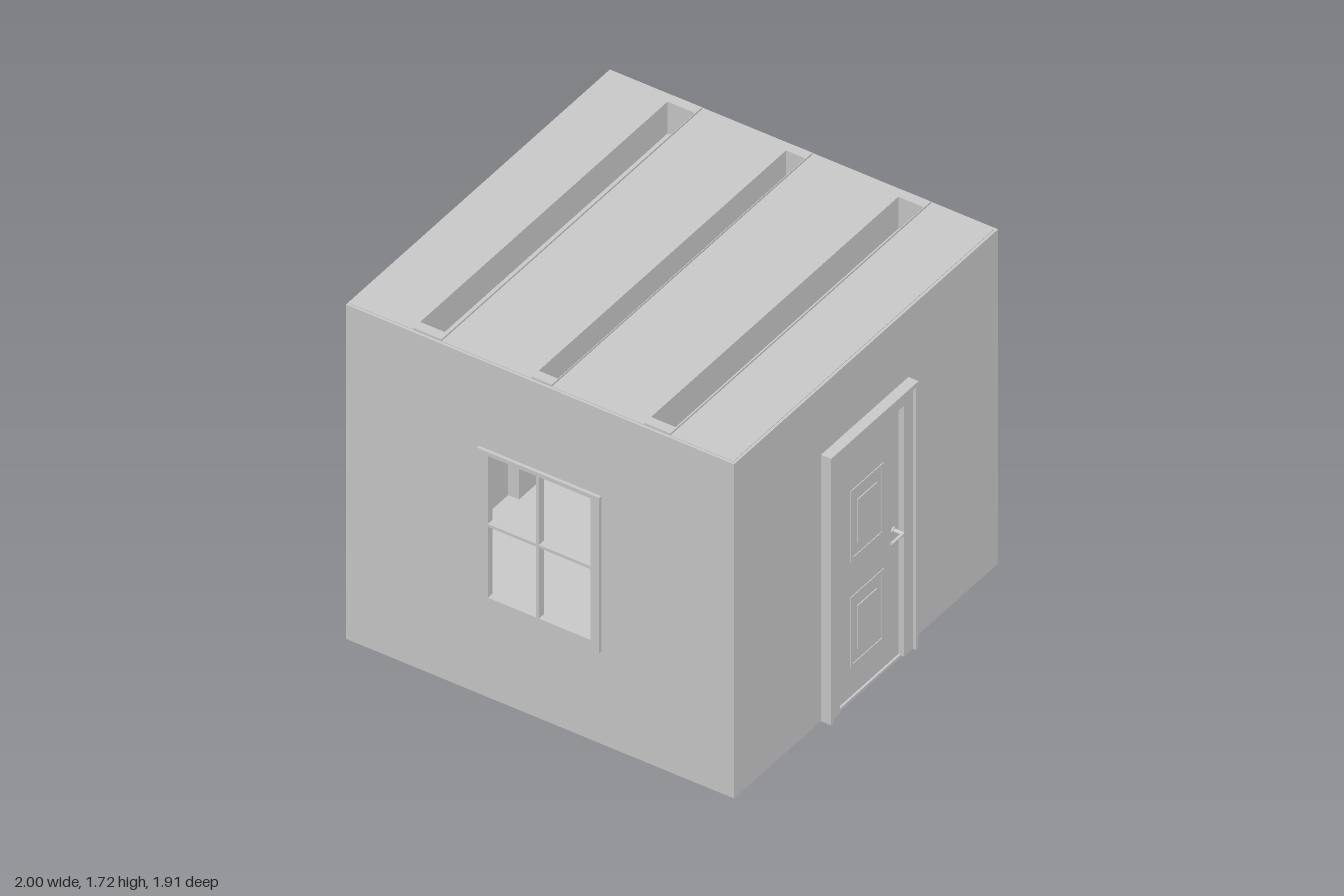
import * as THREE from 'three';

const grey = new THREE.MeshStandardMaterial({ color: 0xcccccc, flatShading: true });
const smooth = new THREE.MeshStandardMaterial({ color: 0xcccccc, side: THREE.DoubleSide });

// Box given by its two extreme corners
function box(parent, name, x0, x1, y0, y1, z0, z1) {
  const m = new THREE.Mesh(new THREE.BoxGeometry(x1 - x0, y1 - y0, z1 - z0), grey);
  m.position.set((x0 + x1) / 2, (y0 + y1) / 2, (z0 + z1) / 2);
  m.name = name;
  parent.add(m);
  return m;
}

function round(parent, name, geometry, x, y, z) {
  const m = new THREE.Mesh(geometry, smooth);
  m.position.set(x, y, z);
  m.name = name;
  parent.add(m);
  return m;
}

function rectPath(path, x0, x1, y0, y1) {
  path.moveTo(x0, y0);
  path.lineTo(x1, y0);
  path.lineTo(x1, y1);
  path.lineTo(x0, y1);
  path.closePath();
  return path;
}

// Upright slab with optional rectangular openings, extruded along z
function slab(parent, name, rect, holes, depth) {
  const shape = rectPath(new THREE.Shape(), ...rect);
  holes.forEach(h => shape.holes.push(rectPath(new THREE.Path(), ...h)));
  const m = new THREE.Mesh(new THREE.ExtrudeGeometry(shape, { depth, bevelEnabled: false }), grey);
  m.name = name;
  parent.add(m);
  return m;
}

// Door facing +z, wall surface at z = 0
function makeDoor(name, w, h, out, inset) {
  const g = new THREE.Group();
  g.name = name;
  const leafW = w - 0.17, leafH = h - 0.08, hw = w / 2, lw = leafW / 2;
  // Casing built from an outer lip and a deeper inner moulding
  for (const s of [-1, 1]) {
    const a = s * hw, b = s * (hw - 0.02), c = s * lw;
    box(g, 'outerCasing', Math.min(a, b), Math.max(a, b), 0.01, h, -0.012, out);
    box(g, 'innerCasing', Math.min(b, c), Math.max(b, c), 0.01, h - 0.02, -inset - 0.02, out - 0.015);
  }
  box(g, 'outerCasingTop', -hw + 0.02, hw - 0.02, h - 0.02, h, -0.012, out);
  box(g, 'innerCasingTop', -lw, lw, leafH, h - 0.02, -inset - 0.02, out - 0.015);
  box(g, 'threshold', -lw, lw, 0, 0.015, -inset - 0.02, out - 0.03);
  const face = -inset + 0.01;
  box(g, 'doorLeaf', -lw, lw, 0.015, leafH, face - 0.03, face);
  // Two moulded panels on both faces of the leaf
  for (const y of [0.16, 0.7]) {
    for (const z of [face, face - 0.03]) {
      const rim = slab(g, 'panelMoulding', [-0.12, 0.12, y, y + 0.36],
        [[-0.105, 0.105, y + 0.015, y + 0.345]], 0.008);
      rim.position.z = z - 0.004;
      box(g, 'raisedPanel', -0.07, 0.07, y + 0.07, y + 0.29, z - 0.005, z + 0.005);
    }
  }
  return g;
}

// Lever handle on a round rosette
function addHandle(door, x, z, tip) {
  const stem = round(door, 'handleStem', new THREE.CylinderGeometry(0.01, 0.01, tip - z, 16), x, 0.67, (z + tip) / 2);
  stem.rotation.x = Math.PI / 2;
  const rose = round(door, 'handleRosette', new THREE.CylinderGeometry(0.016, 0.016, 0.008, 20), x, 0.67, z + 0.004);
  rose.rotation.x = Math.PI / 2;
  const lever = round(door, 'handleLever', new THREE.CylinderGeometry(0.008, 0.008, 0.085, 12), x - 0.04, 0.67, tip - 0.008);
  lever.rotation.z = Math.PI / 2;
}

export function createModel() {
  const room = new THREE.Group();
  room.name = 'room';
  const X0 = -0.97, X1 = 0.93, Z0 = -0.96, Z1 = 0.94, Y0 = 0.01, H = 1.71, T = 0.012;

  // Shell
  box(room, 'floor', X0, X1, Y0, Y0 + T, Z0, Z1);
  box(room, 'backWall', X0, X1, Y0 + T, H, Z0, Z0 + T);
  const front = slab(room, 'frontWall', [X0, X1, Y0 + T, H], [[-0.27, 0.25, 0.52, 1.255]], T);
  front.position.z = Z1 - T;
  const right = slab(room, 'sideWallRight', [-Z1 + T, -Z0 - T, Y0 + T, H], [[-0.27, 0.27, Y0 + 0.013, 1.32]], T);
  right.rotation.y = Math.PI / 2;
  right.position.x = X1 - T;
  const left = slab(room, 'sideWallLeft', [-Z1 + T, -Z0 - T, Y0 + T, H], [[0.235, 0.695, Y0 + 0.013, 1.37]], T);
  left.rotation.y = Math.PI / 2;
  left.position.x = X0;

  // Ceiling panels between hollow, open-topped beams
  const beams = [[-0.65, -0.51], [-0.07, 0.03], [0.48, 0.61]];
  const edges = [X0 + T, ...beams.flat(), X1 - T];
  for (let i = 0; i < edges.length; i += 2)
    box(room, 'ceilingPanel', edges[i], edges[i + 1], H - 0.012, H + 0.003, Z0 + T, Z1 - T);
  for (const [a, b] of beams) {
    const g = new THREE.Group();
    g.name = 'ceilingBeam';
    room.add(g);
    const z0 = Z0 + T, z1 = Z1 - T, top = 1.722, low = 1.55;
    box(g, 'beamBottom', a, b, low, low + 0.01, z0, z1);
    box(g, 'beamSide', a, a + 0.003, low, top, z0, z1);
    box(g, 'beamSide', b - 0.003, b, low, top, z0, z1);
    box(g, 'beamEnd', a, b, low, top, z0, -0.9);
    box(g, 'beamEnd', a, b, low, top, 0.88, z1);
  }

  // Window frame with four panes left open
  const frame = slab(room, 'windowFrame', [-0.32, 0.28, 0.48, 1.27], [
    [-0.265, -0.03, 0.53, 0.89], [-0.015, 0.237, 0.53, 0.89],
    [-0.265, -0.03, 0.905, 1.25], [-0.015, 0.237, 0.905, 1.25]], 0.035);
  frame.position.z = 0.92;

  // Doors
  const doorA = makeDoor('sideDoorRight', 0.63, 1.365, 0.05, 0);
  doorA.rotation.y = Math.PI / 2;
  doorA.position.set(X1, 0, 0);
  addHandle(doorA, 0.19, 0.01, 0.065);
  room.add(doorA);
  const doorB = makeDoor('sideDoorLeft', 0.55, 1.41, 0.03, 0.045);
  doorB.rotation.y = -Math.PI / 2;
  doorB.position.set(X0, 0, -0.465);
  addHandle(doorB, 0.16, -0.035, 0.01);
  room.add(doorB);

  // Desk against the back wall
  const desk = new THREE.Group();
  desk.name = 'desk';
  room.add(desk);
  box(desk, 'deskTop', -0.32, 0.28, 0.47, 0.5, -0.94, -0.62);
  for (const x of [-0.3, 0.23]) for (const z of [-0.93, -0.66])
    box(desk, 'deskLeg', x, x + 0.03, Y0 + T, 0.47, z, z + 0.03);
  box(desk, 'deskBox', -0.18, -0.06, 0.5, 0.575, -0.85, -0.75);
  box(desk, 'book', -0.26, -0.215, 0.5, 0.57, -0.88, -0.74);
  box(desk, 'bookUpright', -0.275, -0.262, 0.5, 0.7, -0.9, -0.72);
  box(desk, 'bookUpright', 0.195, 0.215, 0.5, 0.61, -0.86, -0.74);
  box(desk, 'bookUpright', 0.217, 0.25, 0.5, 0.635, -0.86, -0.74);

  // Table lamp
  const lamp = new THREE.Group();
  lamp.name = 'tableLamp';
  lamp.position.set(-0.055, 0, -0.7);
  room.add(lamp);
  const stand = [[0, 0.5], [0.045, 0.5], [0.045, 0.512], [0.014, 0.53], [0.009, 0.58], [0.014, 0.62], [0.007, 0.67], [0.007, 0.75], [0, 0.75]];
  const shade = [[0.094, 0.685], [0.08, 0.72], [0.05, 0.775], [0.026, 0.812], [0, 0.815]];
  for (const [name, pts] of [['lampStand', stand], ['lampShade', shade]])
    round(lamp, name, new THREE.LatheGeometry(pts.map(p => new THREE.Vector2(...p)), 32), 0, 0, 0);

  return room;
}
